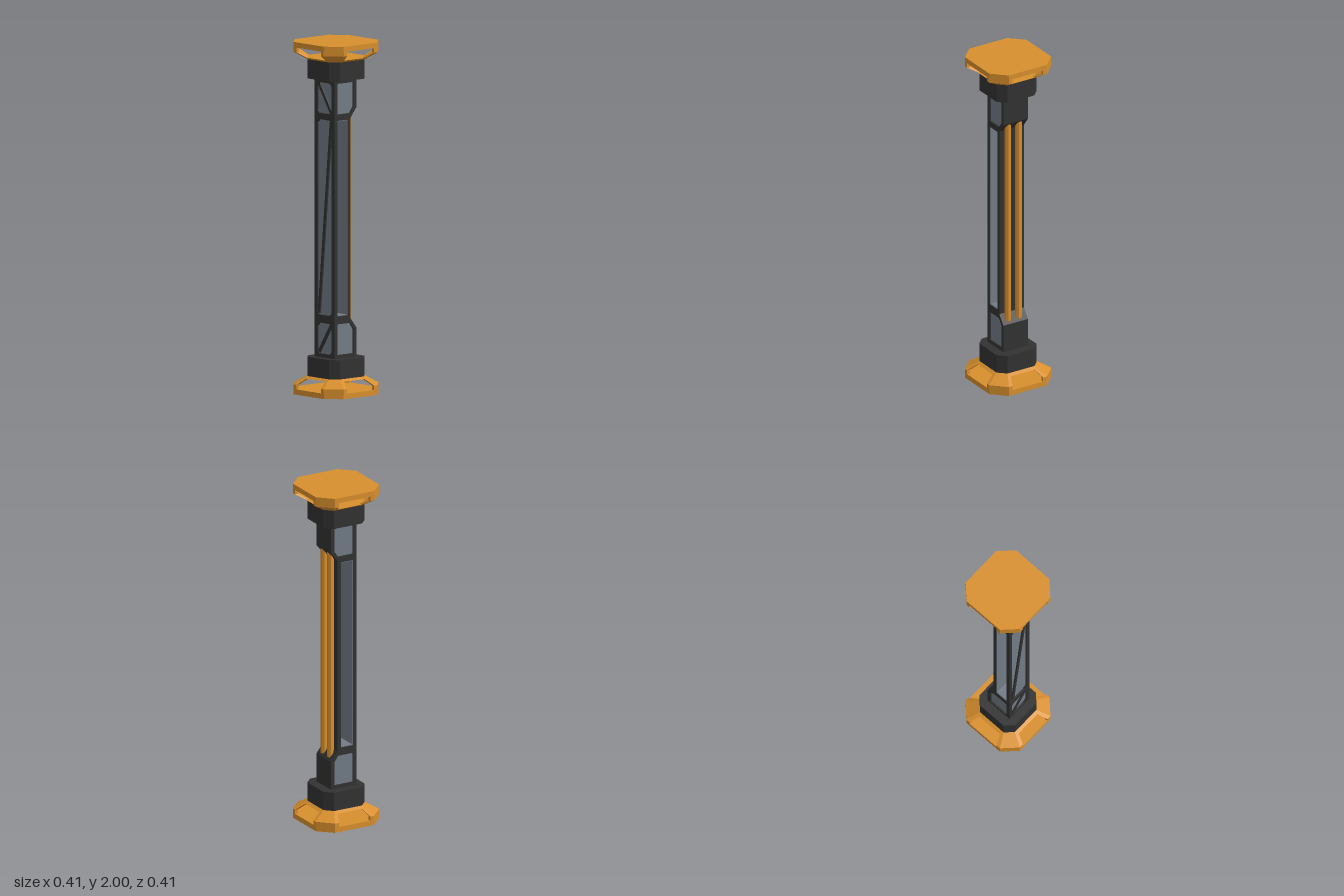
import * as THREE from 'three';

const dark = new THREE.MeshStandardMaterial({ color: 0x323232 });
dark.name = 'darkSteel';
const orange = new THREE.MeshStandardMaterial({ color: 0xd88f2d });
orange.name = 'orangePaint';
const grey = new THREE.MeshStandardMaterial({ color: 0x727c86 });
grey.name = 'greyPanel';

function add(parent, name, geometry, material, x = 0, y = 0, z = 0) {
  const mesh = new THREE.Mesh(geometry, material);
  mesh.name = name;
  mesh.position.set(x, y, z);
  parent.add(mesh);
  return mesh;
}

// Joins [y, outline] sections; outlines run counter-clockwise seen from above
function loft(sections, capped) {
  const pos = [];
  const put = (...pts) => pts.forEach((p) => pos.push(...p));
  const rings = sections.map(([y, outline]) => outline.map(([x, z]) => [x, y, z]));
  const n = rings[0].length;
  for (let k = 0; k + 1 < rings.length; k++) {
    for (let i = 0; i < n; i++) {
      const j = (i + 1) % n;
      const [a, b, c, d] = [rings[k][i], rings[k][j], rings[k + 1][j], rings[k + 1][i]];
      put(a, b, c, a, c, d);
    }
  }
  if (capped) {
    const low = rings[0], high = rings[rings.length - 1];
    for (let i = 1; i + 1 < n; i++) put(low[0], low[i + 1], low[i], high[0], high[i], high[i + 1]);
  }
  const g = new THREE.BufferGeometry();
  g.setAttribute('position', new THREE.Float32BufferAttribute(pos, 3));
  g.computeVertexNormals();
  return g;
}

// Square with cut corners: half width h, corner start c
const octagon = (h, c) => [[c, h], [h, c], [h, -c], [c, -h], [-c, -h], [-h, -c], [-h, c], [-c, h]];

// Thin-walled corner section: half width h, corner start c, window half width w
function cornerOutline(h, c, w) {
  const t = 0.02;
  return [[w, h], [c, h], [h, c], [h, w], [h - t, w], [h - t, c - 0.008], [c - 0.008, h - t], [w, h - t]];
}

const points = (list) => list.map(([x, y]) => new THREE.Vector2(x, y));
const flip = (list) => list.map(([x, y]) => [x, 2 - y]).reverse();

function plate(outline, holes, depth) {
  const shape = new THREE.Shape(points(outline));
  holes.forEach((h) => shape.holes.push(new THREE.Path(points(h))));
  return new THREE.ExtrudeGeometry(shape, { depth, bevelEnabled: false });
}

// Rectangle with cut corners
const cutRect = (x, y0, y1, c) => [
  [-x + c, y0], [x - c, y0], [x, y0 + c], [x, y1 - c],
  [x - c, y1], [-x + c, y1], [-x, y1 - c], [-x, y0 + c]];

// Hollow foot with four windows, plus its collar
function createEnd(name) {
  const end = new THREE.Group();
  end.name = name;
  add(end, 'footPlate', loft([[0, octagon(0.206, 0.127)], [0.03, octagon(0.206, 0.127)]], true), orange);
  const corner = loft([
    [0.028, cornerOutline(0.207, 0.127, 0.102)],
    [0.056, cornerOutline(0.207, 0.127, 0.102)],
    [0.092, cornerOutline(0.148, 0.097, 0.076)]], false);
  for (let i = 0; i < 4; i++) {
    add(end, 'footCorner', corner, orange).rotation.y = i * Math.PI / 2;
  }
  add(end, 'footRing', loft([[0.089, octagon(0.153, 0.099)], [0.101, octagon(0.134, 0.09)]], true), orange);
  add(end, 'collar', loft([[0.1, octagon(0.134, 0.09)], [0.21, octagon(0.134, 0.09)]], true), dark);
  return end;
}

export function createModel() {
  const model = new THREE.Group();
  model.name = 'column';

  // Matching ends
  model.add(createEnd('bottomEnd'));
  const top = createEnd('topEnd');
  top.rotation.x = Math.PI;
  top.position.y = 2;
  model.add(top);

  // Shaft body, open from front to back
  const lower = [[-0.075, 0.2], [0.08, 0.2], [0.08, 0.375], [0.037, 0.43]];
  const panel = [[-0.064, 0.23], [0.058, 0.23], [0.058, 0.37], [0.033, 0.405], [-0.064, 0.405]];
  const opening = [[-0.064, 0.45], [0.016, 0.45], [0.016, 1.56], [-0.064, 1.56]];
  const body = plate([...lower, ...flip(lower)], [panel, flip(panel), opening], 0.164);
  add(model, 'shaftBody', body, dark, 0, 0, -0.082);

  // Recessed end panels
  for (const outline of [panel, flip(panel)]) {
    add(model, 'endPanel', plate(outline, [], 0.144), grey, 0, 0, -0.072);
  }

  // Lining of the long opening
  for (const x of [-0.063, 0.015]) {
    add(model, 'openingLining', new THREE.BoxGeometry(0.004, 1.108, 0.156), grey, x, 1.005, 0);
  }
  for (const y of [0.452, 1.558]) {
    add(model, 'openingSill', new THREE.BoxGeometry(0.076, 0.004, 0.156), grey, -0.024, y, 0);
  }

  // Trussed side: frame, backing panels and diagonal braces
  const spans = [[0.23, 0.405], [0.45, 1.56], [1.595, 1.77]];
  const side = plate(
    [[-0.082, 0.2], [0.082, 0.2], [0.082, 1.8], [-0.082, 1.8]],
    spans.map(([a, b]) => cutRect(0.06, a, b, 0.018)), 0.012);
  side.rotateY(-Math.PI / 2);
  add(model, 'sideFrame', side, dark, -0.075, 0, 0);
  spans.forEach(([a, b], i) => {
    add(model, 'sidePanel', new THREE.BoxGeometry(0.004, b - a, 0.12), grey, -0.0745, (a + b) / 2, 0);
    const dy = b - a - 0.02;
    const dz = i === 2 ? -0.1 : 0.1;
    const brace = new THREE.BoxGeometry(0.01, Math.hypot(dy, dz), 0.018);
    add(model, 'sideBrace', brace, dark, -0.08, (a + b) / 2, 0).rotation.x = Math.atan2(dz, dy);
  });

  // Twin rods running between the sloped shoulders
  const rod = new THREE.CylinderGeometry(0.019, 0.019, 1.23, 8).toNonIndexed();
  rod.rotateY(Math.PI / 8);
  rod.computeVertexNormals();
  for (const z of [-0.034, 0.038]) add(model, 'rod', rod, orange, 0.056, 1.005, z);

  return model;
}
